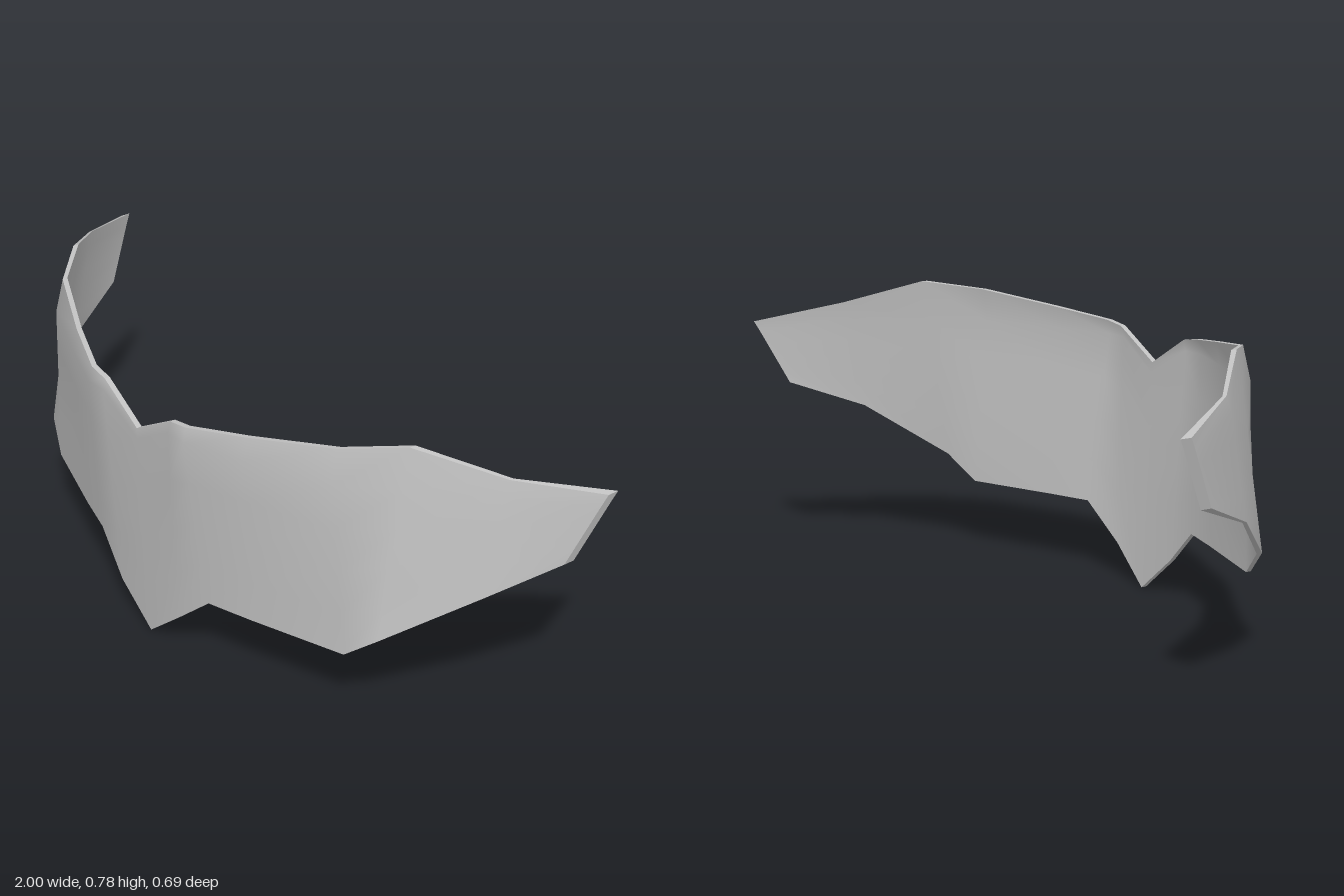
import * as THREE from 'three';

// Half outline by column: top x, y, z | ridge z | bottom x, y, z | thickness
const HALF = [
  [0, 0.62, 0.34, 0.339, 0, 0, 0.31, 0.015],
  [0.14, 0.70, 0.337, 0.344, 0.12, 0.10, 0.315, 0.015],
  [0.2, 0.709, 0.335, 0.345, 0.235, 0.2, 0.296, 0.015],
  [0.36, 0.731, 0.272, 0.284, 0.36, 0.2, 0.258, 0.015],
  [0.575, 0.762, 0.17, 0.19, 0.62, 0.2, 0.17, 0.015],
  [0.70, 0.78, 0.05, 0.07, 0.705, 0.27, 0.135, 0.017],
  [0.87, 0.712, -0.115, -0.1, 0.87, 0.406, -0.05, 0.012],
  [1, 0.66, -0.315, -0.299, 0.96, 0.48, -0.225, 0.031],
];
const STEPS = 4; // rows between the bottom edge and the ridge
const ROWS = STEPS + 2;

// Points of one column from the bottom edge up to the top edge
function columnPoints([xt, yt, zt, zr, xb, yb, zb, thick], side) {
  const ridgeY = Math.min(0.67, yt - 0.03);
  const points = [];
  for (let i = 0; i <= STEPS; i++) {
    const t = i / STEPS;
    const y = THREE.MathUtils.lerp(yb, ridgeY, t);
    const x = THREE.MathUtils.lerp(xb, xt, (y - yb) / (yt - yb));
    points.push([side * x, y, THREE.MathUtils.lerp(zb, zr, t)]);
  }
  points.push([side * xt, yt, zt]);
  return { points, thick };
}

function buildGeometry(positions, indices) {
  const geometry = new THREE.BufferGeometry();
  geometry.setAttribute('position', new THREE.Float32BufferAttribute(positions.flat(), 3));
  geometry.setIndex(indices);
  return geometry;
}

// Smooth grid skin, facing forward or backward
function skin(grid, backward) {
  const indices = [];
  for (let c = 0; c < grid.length - 1; c++) {
    for (let r = 0; r < ROWS - 1; r++) {
      const a = c * ROWS + r, b = a + ROWS;
      if (backward) indices.push(a, b + 1, b, a, a + 1, b + 1);
      else indices.push(a, b, b + 1, a, b + 1, a + 1);
    }
  }
  const geometry = buildGeometry(grid.flat(), indices);
  geometry.computeVertexNormals();
  return geometry;
}

// Flat strip joining both skins around the outline
function rim(front, back) {
  const last = front.length - 1;
  const path = [];
  for (let c = 0; c <= last; c++) path.push([c, 0]);
  for (let r = 1; r < ROWS; r++) path.push([last, r]);
  for (let c = last - 1; c >= 0; c--) path.push([c, ROWS - 1]);
  for (let r = ROWS - 2; r > 0; r--) path.push([0, r]);
  const positions = [], indices = [];
  path.forEach(([c, r], i) => {
    const [c2, r2] = path[(i + 1) % path.length];
    const n = positions.length;
    positions.push(front[c][r], back[c][r], back[c2][r2], front[c2][r2]);
    indices.push(n, n + 1, n + 2, n, n + 2, n + 3);
  });
  const geometry = buildGeometry(positions, indices);
  geometry.computeVertexNormals();
  return geometry;
}

export function createModel() {
  const group = new THREE.Group();
  group.name = 'curvedPlate';
  const grey = new THREE.MeshStandardMaterial({ color: 0xc0c0c0 });
  grey.name = 'grey';

  // Mirror the half columns to run from right (-x) to left (+x)
  const columns = [
    ...HALF.slice(1).reverse().map((c) => columnPoints(c, -1)),
    ...HALF.map((c) => columnPoints(c, 1)),
  ];
  const front = columns.map((c) => c.points);
  const back = columns.map((c) => c.points.map(([x, y, z]) => [x, y, z - c.thick]));

  const add = (name, geometry) => {
    const mesh = new THREE.Mesh(geometry, grey);
    mesh.name = name;
    group.add(mesh);
  };
  add('outerFace', skin(front, false));
  add('innerFace', skin(back, true));
  add('rim', rim(front, back));
  return group;
}
